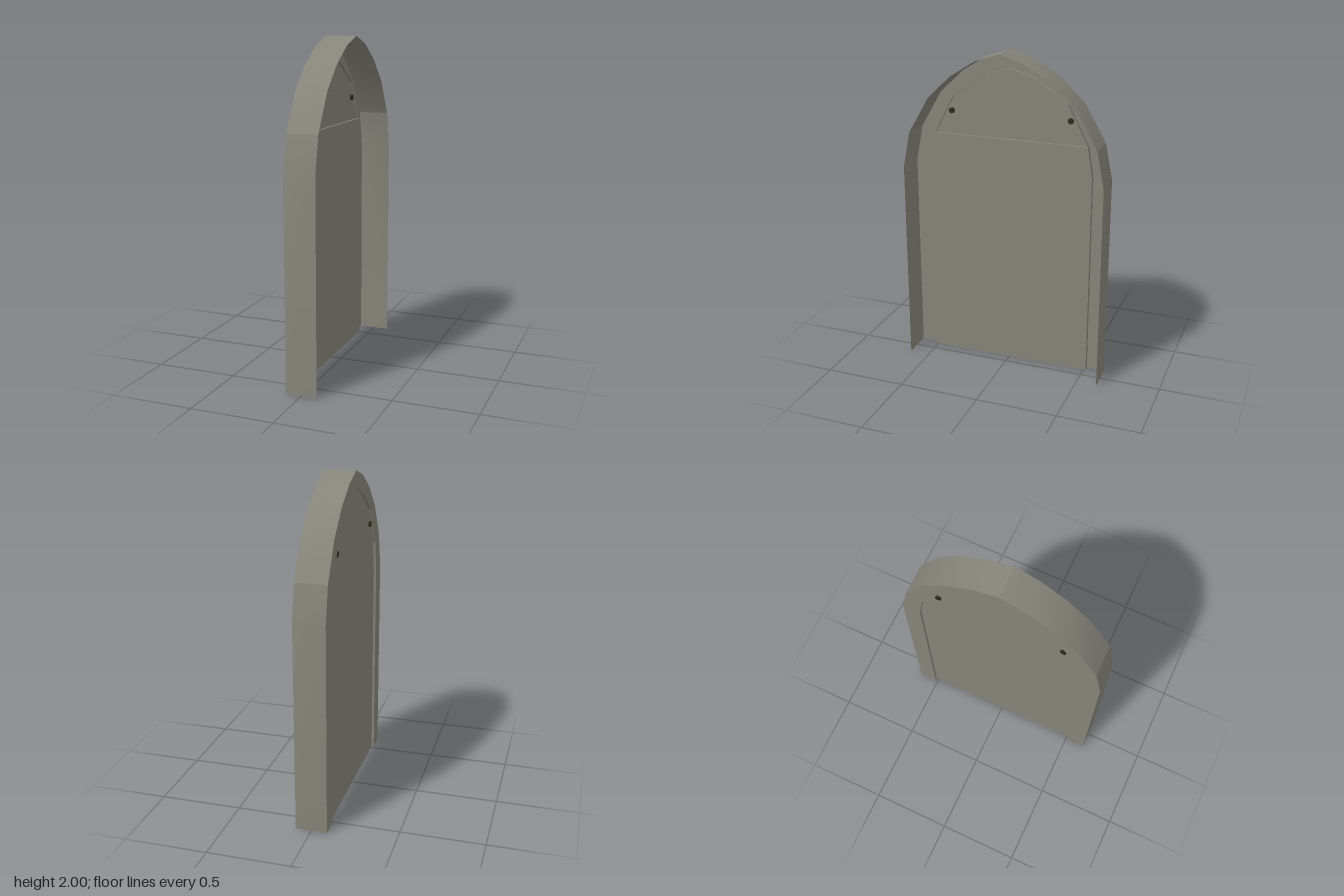
import * as THREE from 'three';
import { toCreasedNormals } from 'three/addons/utils/BufferGeometryUtils.js';

// Half profiles as [z, y], from the foot up to the apex
const OUTER = [[0.628, 0], [0.628, 1.27], [0.583, 1.49], [0.455, 1.71], [0.31, 1.85], [0.15, 1.95], [0, 2]];
const INNER = [[0.515, 0], [0.515, 1.27], [0.485, 1.46], [0.36, 1.7], [0.155, 1.84], [0, 1.89]];
const BACK = -0.095, FRONT = 0.095, PANEL = -0.08, DOOR = -0.065;

// Full outline from the +z foot over the top to the -z foot
function mirrored(half) {
  const other = half.filter(([z]) => z > 0).reverse().map(([z, y]) => [-z, y]);
  return [...half, ...other];
}

// Open band that follows an outline between two x positions
function band(points, x0, x1) {
  const pos = [];
  for (let i = 0; i < points.length - 1; i++) {
    const [z0, y0] = points[i], [z1, y1] = points[i + 1];
    pos.push(x0, y0, z0, x1, y0, z0, x1, y1, z1);
    pos.push(x0, y0, z0, x1, y1, z1, x0, y1, z1);
  }
  const geo = new THREE.BufferGeometry();
  geo.setAttribute('position', new THREE.Float32BufferAttribute(pos, 3));
  geo.computeVertexNormals();
  return toCreasedNormals(geo, 0.3);
}

const shapeOf = (points) => new THREE.Shape(points.map(([z, y]) => new THREE.Vector2(-z, y)));

export function createModel() {
  const group = new THREE.Group();
  const stone = new THREE.MeshStandardMaterial({ color: 0x86857a, side: THREE.DoubleSide });
  stone.name = 'greyStone';
  const iron = new THREE.MeshStandardMaterial({ color: 0x2c2b18 });
  iron.name = 'darkIron';

  const add = (name, geo, material = stone) => {
    const mesh = new THREE.Mesh(geo, material);
    mesh.name = name;
    group.add(mesh);
    return mesh;
  };

  // Thin outer shell of the archway and the reveal around the opening
  const outer = mirrored(OUTER), inner = mirrored(INNER);
  add('archShell', band(outer, BACK, FRONT));
  add('archReveal', band(inner, BACK, DOOR));

  // Flat arch frame at the back
  const frame = new THREE.ShapeGeometry(shapeOf([...outer, ...[...inner].reverse()]));
  add('archFrame', frame.rotateY(Math.PI / 2).translate(BACK, 0, 0));

  // Panel above the door, set slightly behind it
  const top = new THREE.ShapeGeometry(shapeOf(mirrored(INNER.slice(2))));
  add('upperPanel', top.rotateY(Math.PI / 2).translate(PANEL, 0, 0));

  // Door leaf with a narrow ledge along its top
  const leaf = new THREE.ExtrudeGeometry(shapeOf(mirrored(INNER.slice(0, 3))), {
    depth: DOOR - PANEL, bevelEnabled: false,
  });
  add('doorLeaf', leaf.rotateY(Math.PI / 2).translate(PANEL, 0, 0));

  // Small studs through the upper panel
  for (const side of [1, -1]) {
    const stud = new THREE.CylinderGeometry(0.018, 0.018, 0.024, 8).rotateZ(Math.PI / 2);
    add('stud', stud, iron).position.set(PANEL, 1.605, side * 0.375);
  }
  return group;
}
